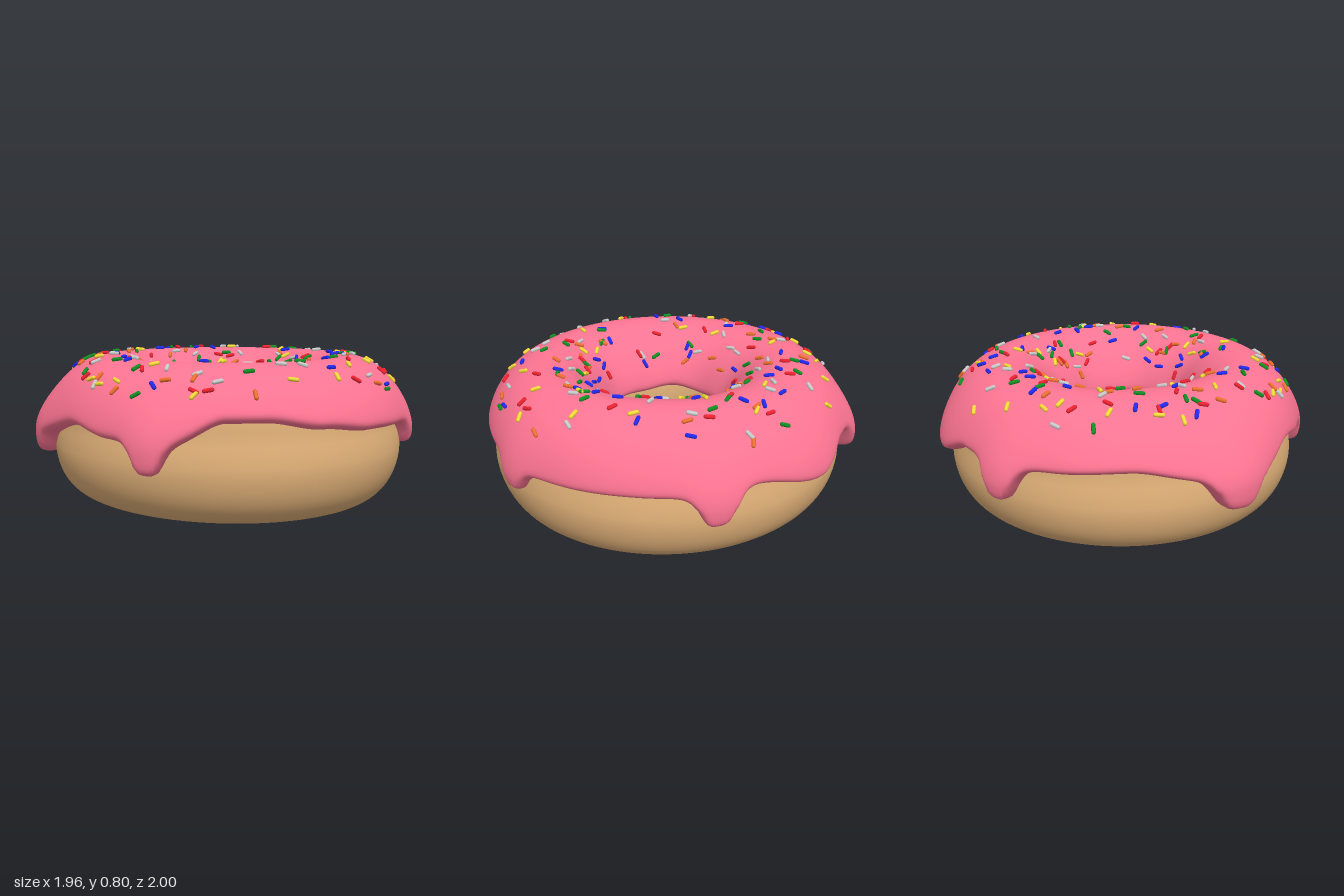
import * as THREE from 'three';
import { mergeGeometries } from 'three/addons/utils/BufferGeometryUtils.js';

const RAD = Math.PI / 180;
const RING = 0.648, HALF_WIDTH = 0.3, MID_Y = 0.38, HALF_HEIGHT = 0.365;

// Lower rim of the icing: [degrees from the front, height]
const RIM = [
  [-180, 0.47], [-153, 0.38], [-137, 0.47], [-105, 0.48], [-82, 0.5], [-65, 0.46], [-40, 0.42],
  [-24, 0.47], [-8, 0.43], [14, 0.44], [29, 0.53], [40, 0.53], [58, 0.49], [75, 0.46],
  [92, 0.45], [120, 0.43], [150, 0.44], [180, 0.47],
];
// Drips: [degrees, depth, half width in degrees, bulge]
const DRIPS = [
  [-52, 0.17, 7.5, 0.065], [7, 0.16, 5, 0.035], [107, 0.12, 4.5, 0.025],
  [171, 0.17, 5.5, 0.035], [-120, 0.17, 5, 0.045], [-153, 0, 9, 0.035], [-90, 0, 11, 0.025],
];

function seeded(seed) {
  return () => {
    seed = (seed * 1664525 + 1013904223) % 4294967296;
    return seed / 4294967296;
  };
}

const bend = (v, p) => Math.sign(v) * Math.abs(v) ** p;

// Point on the ring: az around it, phi around its section, off outwards
function ringPoint(az, phi, off, bulge = 0) {
  const s = Math.sin(phi), c = Math.cos(phi);
  const low = s < 0;
  const p = low ? 0.8 : 1;
  const r = RING + (HALF_WIDTH + off) * bend(c, p) + bulge * Math.max(0, c) ** 7;
  let y = MID_Y + (HALF_HEIGHT + off) * bend(s, p);
  if (low) y -= 0.013 * Math.sin(az) * s * s;
  const k = r * (1 - 0.012 * Math.cos(2 * az));
  return new THREE.Vector3(k * Math.sin(az), y, k * Math.cos(az));
}

// Dough: slightly pinched around its outer waist
function doughPoint(az, phi) {
  const v = ringPoint(az, phi, 0);
  if (Math.cos(phi) > 0) {
    const pinch = 1 - 0.025 * Math.exp(-(((v.y - 0.45) / 0.09) ** 2));
    v.x *= pinch;
    v.z *= pinch;
  }
  return v;
}

// Rim height and bulge of the icing at one angle
function rimAt(az) {
  const deg = ((az / RAD + 180) % 360 + 360) % 360 - 180;
  let i = 0;
  while (i < RIM.length - 2 && RIM[i + 1][0] < deg) i++;
  const [a, ya] = RIM[i], [b, yb] = RIM[i + 1];
  let y = THREE.MathUtils.lerp(ya, yb, THREE.MathUtils.smoothstep(deg, a, b));
  let bulge = 0;
  for (const [centre, depth, width, out] of DRIPS) {
    const d = Math.abs(deg - centre);
    const k = Math.min(d, 360 - d) / width;
    y -= depth / (1 + k ** 4);
    bulge += out * Math.exp(-((k / 2) ** 2));
  }
  return { y, bulge };
}

function icingOffset(az, phi) {
  const inner = Math.max(0, -Math.cos(phi));
  return 0.035 + inner * (-0.014 * Math.sin(az) + 0.006 * Math.sin(5 * az + 1) + 0.004 * Math.sin(8 * az));
}

// Icing: t runs from the outer rim over the top into the hole
function icingPoint(az, t) {
  const { y, bulge } = rimAt(az);
  const s = (y - MID_Y) / HALF_HEIGHT;
  const start = Math.asin(bend(s, s < 0 ? 1.25 : 1));
  const end = (171 + 2 * Math.sin(3 * az) + Math.sin(7 * az + 2)) * RAD;
  const u = -Math.cos(Math.PI * t);
  const phi = start + (end - start) * (u + 1) / 2;
  const round = Math.sqrt(Math.max(0, 1 - Math.abs(u) ** 40));
  return ringPoint(az, phi, -0.03 + (icingOffset(az, phi) + 0.03) * round, bulge * round);
}

// Closed loop of cross-sections
function sweep(point, columns, rows, closedSection) {
  const pos = [], index = [];
  const lines = closedSection ? rows : rows + 1;
  for (let i = 0; i < columns; i++) {
    for (let j = 0; j < lines; j++) pos.push(...point(i / columns * 2 * Math.PI, j / rows).toArray());
  }
  for (let i = 0; i < columns; i++) {
    for (let j = 0; j < rows; j++) {
      const i2 = (i + 1) % columns, j2 = (j + 1) % lines;
      const a = i * lines + j, b = i2 * lines + j, c = i2 * lines + j2, d = i * lines + j2;
      index.push(a, b, c, a, c, d);
    }
  }
  const g = new THREE.BufferGeometry();
  g.setAttribute('position', new THREE.Float32BufferAttribute(pos, 3));
  g.setIndex(index);
  g.computeVertexNormals();
  return g;
}

function addMesh(group, name, geometry, color) {
  const mesh = new THREE.Mesh(geometry, new THREE.MeshStandardMaterial({ color }));
  mesh.name = name;
  group.add(mesh);
}

export function createModel() {
  const model = new THREE.Group();
  model.name = 'doughnut';

  addMesh(model, 'dough', sweep((az, t) => doughPoint(az, t * 2 * Math.PI), 128, 64, true), 0xe0b078);
  addMesh(model, 'icing', sweep(icingPoint, 300, 56, false), 0xff7593);

  // Sprinkles lying flat on the icing, one mesh per colour
  const random = seeded(7);
  const colors = {
    red: 0xee2230, blue: 0x2228f0, green: 0x128f22, yellow: 0xf5dc38, white: 0xffffff, orange: 0xf07030,
  };
  const capsule = new THREE.CapsuleGeometry(0.0105, 0.036, 3, 8);
  const surface = (az, phi) => ringPoint(az, phi, icingOffset(az, phi));
  const count = 36;
  for (const [name, color] of Object.entries(colors)) {
    const pieces = [];
    for (let i = 0; i < count; i++) {
      const az = (i + random()) / count * 2 * Math.PI;
      const phi = Math.acos(0.78 - 1.66 * random());
      const p = surface(az, phi);
      const along = surface(az + 0.01, phi).sub(p).normalize();
      const across = surface(az, phi + 0.01).sub(p).normalize();
      const normal = along.clone().cross(across).normalize();
      const turn = random() * Math.PI;
      const dir = along.multiplyScalar(Math.cos(turn)).addScaledVector(across, Math.sin(turn)).normalize();
      const side = dir.clone().cross(normal).normalize();
      const m = new THREE.Matrix4().makeBasis(side, dir, side.clone().cross(dir));
      m.setPosition(p.addScaledVector(normal, 0.006));
      pieces.push(capsule.clone().applyMatrix4(m));
    }
    addMesh(model, `${name}Sprinkles`, mergeGeometries(pieces), color);
  }
  return model;
}
